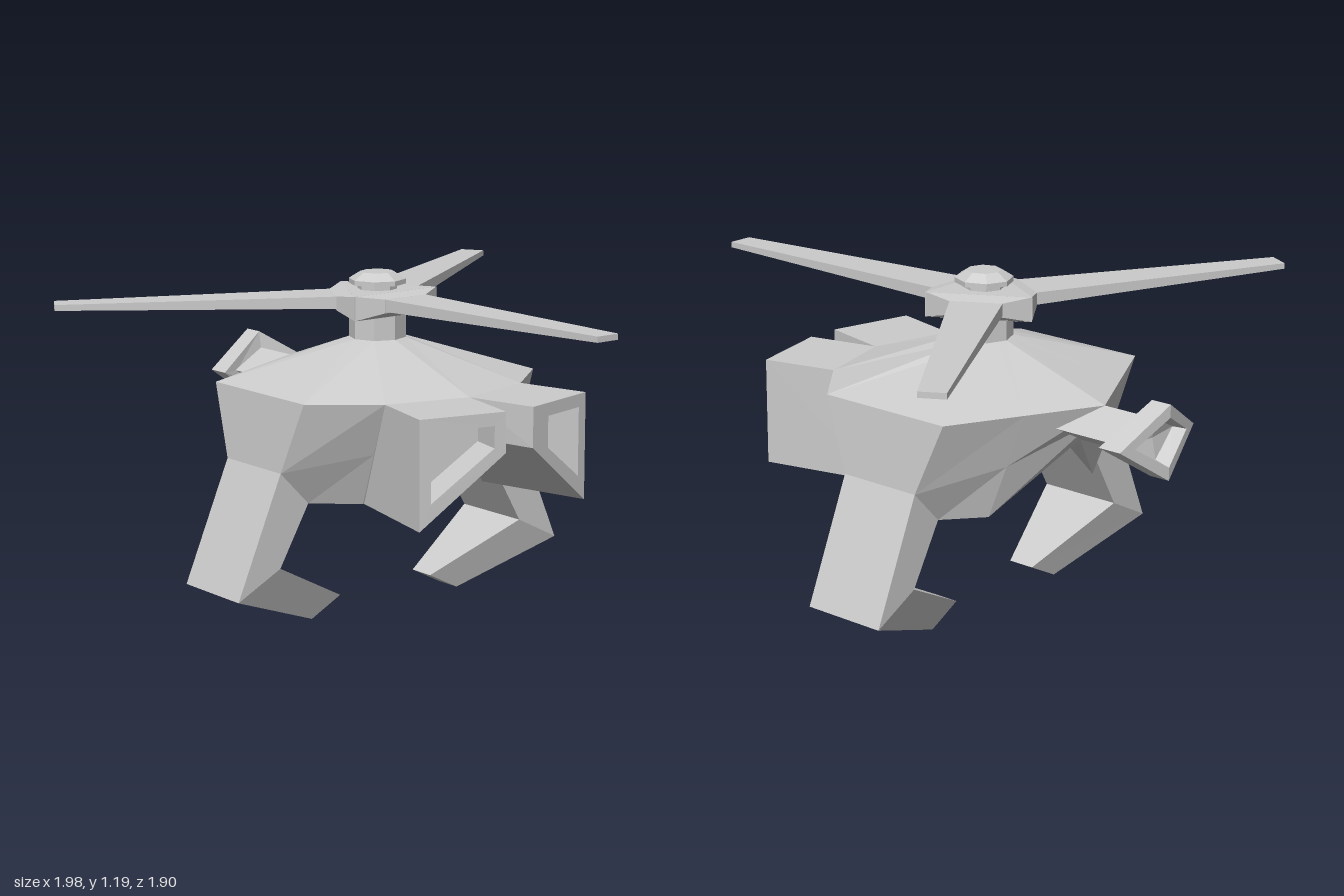
import * as THREE from 'three';

const material = new THREE.MeshStandardMaterial({ color: 0xcccccc, flatShading: true });

// Closed solid through rings of [x, y, z] points; both ends are capped.
function loft(name, rings) {
  const n = rings[0].length;
  const tris = [];
  for (let r = 0; r < rings.length - 1; r++) {
    for (let i = 0; i < n; i++) {
      const j = (i + 1) % n;
      const [a, b, c, d] = [rings[r][i], rings[r][j], rings[r + 1][j], rings[r + 1][i]];
      tris.push([a, b, c], [a, c, d]);
    }
  }
  const cap = (ring, flip) => {
    const mid = [0, 1, 2].map(k => ring.reduce((s, p) => s + p[k], 0) / n);
    ring.forEach((p, i) => {
      const q = ring[(i + 1) % n];
      tris.push(flip ? [mid, q, p] : [mid, p, q]);
    });
  };
  cap(rings[0], true);
  cap(rings[rings.length - 1], false);
  // Turn the faces outward if the enclosed volume is negative
  let volume = 0;
  const [A, B, C] = [new THREE.Vector3(), new THREE.Vector3(), new THREE.Vector3()];
  for (const t of tris) {
    volume += A.fromArray(t[0]).dot(B.fromArray(t[1]).cross(C.fromArray(t[2])));
  }
  if (volume < 0) tris.forEach(t => t.reverse());
  const geometry = new THREE.BufferGeometry();
  geometry.setAttribute('position', new THREE.Float32BufferAttribute(tris.flat(2), 3));
  geometry.computeVertexNormals();
  const mesh = new THREE.Mesh(geometry, material);
  mesh.name = name;
  return mesh;
}

// Full symmetric ring from its +x half (first and last points on the centre line)
const mirrorRing = half =>
  [...half, ...half.slice(1, -1).reverse().map(([x, y, z]) => [-x, y, z])];
const flipX = (rings, side) => rings.map(r => r.map(([x, y, z]) => [x * side, y, z]));

function makeBody() {
  const bottom = [[0, 0.68, 0.27], [0.27, 0.445, 0.09], [0.42, 0.45, -0.02],
    [0.42, 0.45, -0.33], [0.28, 0.445, -0.43], [0, 0.68, -0.59]];
  const eaves = [[0, 0.82, 0.33], [0.3, 0.82, 0.25], [0.51, 0.82, 0.08],
    [0.51, 0.82, -0.43], [0.255, 0.82, -0.56], [0, 0.82, -0.69]];
  const waist = bottom.map((p, i) => p.map((v, k) => (v + eaves[i][k]) / 2));
  waist[2] = [0.535, 0.57, -0.02];
  waist[3] = [0.535, 0.57, -0.33];
  const collar = [[0, 0.96, -0.07], [0.07, 0.96, -0.1], [0.1, 0.96, -0.17],
    [0.07, 0.96, -0.24], [0.035, 0.96, -0.255], [0, 0.96, -0.27]];
  // Hollow underside rising to a flat ceiling
  const ceiling = bottom.map(([x, , z]) => [x * 0.65, 0.72, -0.17 + (z + 0.17) * 0.65]);
  return loft('body', [ceiling, bottom, waist, eaves, collar].map(mirrorRing));
}

// Front pod with a recessed window
function makePod(side) {
  const back = [[0.3, 0.82, 0.25], [0, 0.82, 0.33], [0, 0.68, 0.3], [0.265, 0.445, 0.09]];
  const front = [[0.365, 0.82, 0.51], [0.06, 0.82, 0.585], [0.06, 0.68, 0.585], [0.365, 0.445, 0.51]];
  const frame = [[0.325, 0.775, 0.52], [0.1, 0.775, 0.575], [0.1, 0.7, 0.575], [0.325, 0.535, 0.52]];
  const pane = frame.map(([x, y, z]) => [x - 0.03, y, z - 0.12]);
  return loft(side > 0 ? 'leftPod' : 'rightPod', flipX([back, front, frame, pane], side));
}

// Bent leg ending in a pointed, inward-turned foot
function makeLeg(side) {
  const section = ([ox, oy], [ix, iy], h) =>
    [[ox, oy, -0.175 + h], [ox, oy, -0.175 - h], [ix, iy, -0.175 - h], [ix, iy, -0.175 + h]];
  return loft(side > 0 ? 'leftLeg' : 'rightLeg', flipX([
    section([0.535, 0.57], [0.42, 0.45], 0.155),
    section([0.715, 0.15], [0.54, 0.24], 0.155),
    section([0.33, 0], [0.205, 0.065], 0.05),
  ], side));
}

// Diamond boom and swept tail ring with a hollow back
function makeTail() {
  const tail = new THREE.Group();
  tail.name = 'tail';
  const diamond = (w, h, zMid, zSide) =>
    [[0, 0.75 + h, zMid], [w, 0.755, zSide], [0, 0.75 - h, zMid], [-w, 0.755, zSide]];
  tail.add(loft('tailBoom', [diamond(0.14, 0.07, -0.45, -0.45), diamond(0.14, 0.07, -0.89, -0.85)]));
  tail.add(loft('tailFin', [
    diamond(0.13, 0.07, -0.87, -0.84),
    diamond(0.2, 0.13, -0.88, -0.82),
    diamond(0.2, 0.13, -0.955, -0.905),
    diamond(0.14, 0.085, -0.955, -0.92),
    diamond(0.13, 0.07, -0.9, -0.87),
  ]));
  return tail;
}

function makeRotor() {
  const rotor = new THREE.Group();
  rotor.name = 'rotor';
  const cylinder = (name, top, base, y0, y1, sides = 8) => {
    const mesh = new THREE.Mesh(new THREE.CylinderGeometry(top, base, y1 - y0, sides), material);
    mesh.position.y = (y0 + y1) / 2;
    mesh.name = name;
    rotor.add(mesh);
    return mesh;
  };
  cylinder('mast', 0.1, 0.1, 0.95, 1.06);
  cylinder('hub', 0.21, 0.21, 1.045, 1.13, 3).rotation.y = Math.PI;
  cylinder('capNeck', 0.07, 0.07, 1.12, 1.15);
  cylinder('capRim', 0.1, 0.1, 1.148, 1.165);
  cylinder('capTop', 0.06, 0.1, 1.165, 1.19);
  const rect = (x0, x1, y0, y1, z) => [[x0, y0, z], [x1, y0, z], [x1, y1, z], [x0, y1, z]];
  for (let i = 0; i < 3; i++) {
    const arm = new THREE.Group();
    arm.name = 'bladeArm';
    arm.rotation.y = i * Math.PI * 2 / 3;
    arm.add(loft('bladeSocket', [
      rect(-0.18, 0.18, 1.045, 1.13, 0.104),
      rect(-0.09, 0.09, 1.07, 1.118, 0.156),
    ]));
    arm.add(loft('blade', [
      rect(-0.09, 0.09, 1.075, 1.118, 0.14),
      rect(0, 0.09, 1.093, 1.113, 1.12),
    ]));
    rotor.add(arm);
  }
  rotor.position.z = -0.17;
  return rotor;
}

export function createModel() {
  const model = new THREE.Group();
  model.name = 'walkingHelicopter';
  model.add(makeBody(), makeTail(), makeRotor());
  for (const side of [1, -1]) model.add(makePod(side), makeLeg(side));
  // The body sits slightly off centre because the blades are lopsided
  model.children.forEach(part => { part.position.x = 0.02; });
  return model;
}
